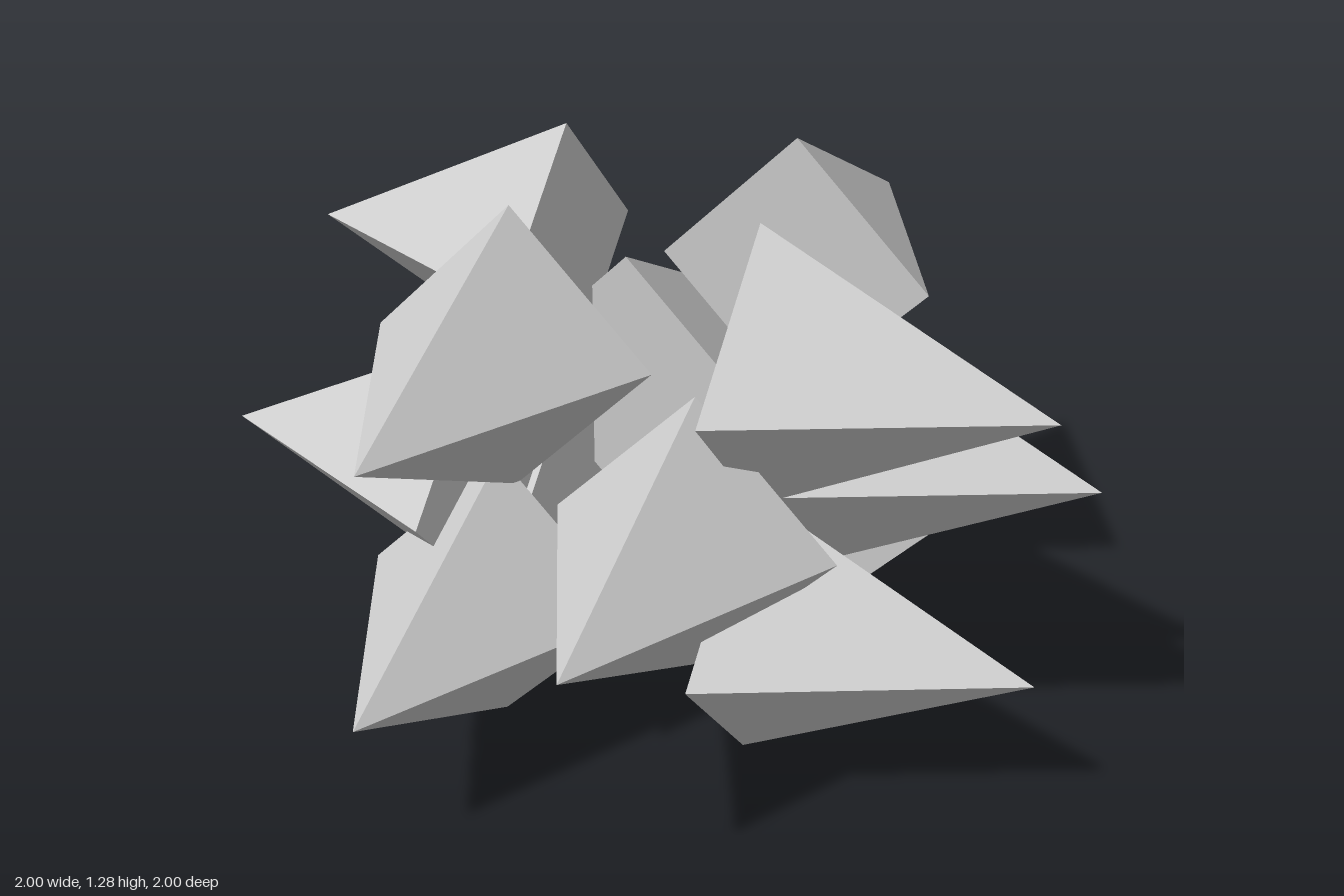
import * as THREE from 'three';

const BASE = 0.327;   // distance of each spike's base from the centre axis
const RADIUS = 0.335; // half diagonal of the square base

export function createModel() {
  const model = new THREE.Group();
  model.name = 'spikeCluster';
  const material = new THREE.MeshStandardMaterial({ color: 0xcccccc, flatShading: true });

  // Four-sided spike pointing along +z, with its base corners on the x and y axes
  const spike = new THREE.ConeGeometry(RADIUS, 1 - BASE, 4);
  spike.rotateX(Math.PI / 2);
  spike.translate(0, 0, (1 + BASE) / 2);

  // Spike centres on one side
  const spots = [
    ['upperSpike', -0.202, 0.946],
    ['middleSpike', 0.235, 0.579],
    ['lowerSpike', -0.245, 0.337],
  ];

  // The same three spikes on each of the four sides
  ['front', 'left', 'back', 'right'].forEach((sideName, i) => {
    const side = new THREE.Group();
    side.name = sideName + 'Spikes';
    side.rotation.y = i * Math.PI / 2;
    for (const [name, x, y] of spots) {
      const mesh = new THREE.Mesh(spike, material);
      mesh.name = name;
      mesh.position.set(x, y, 0);
      side.add(mesh);
    }
    model.add(side);
  });
  return model;
}
